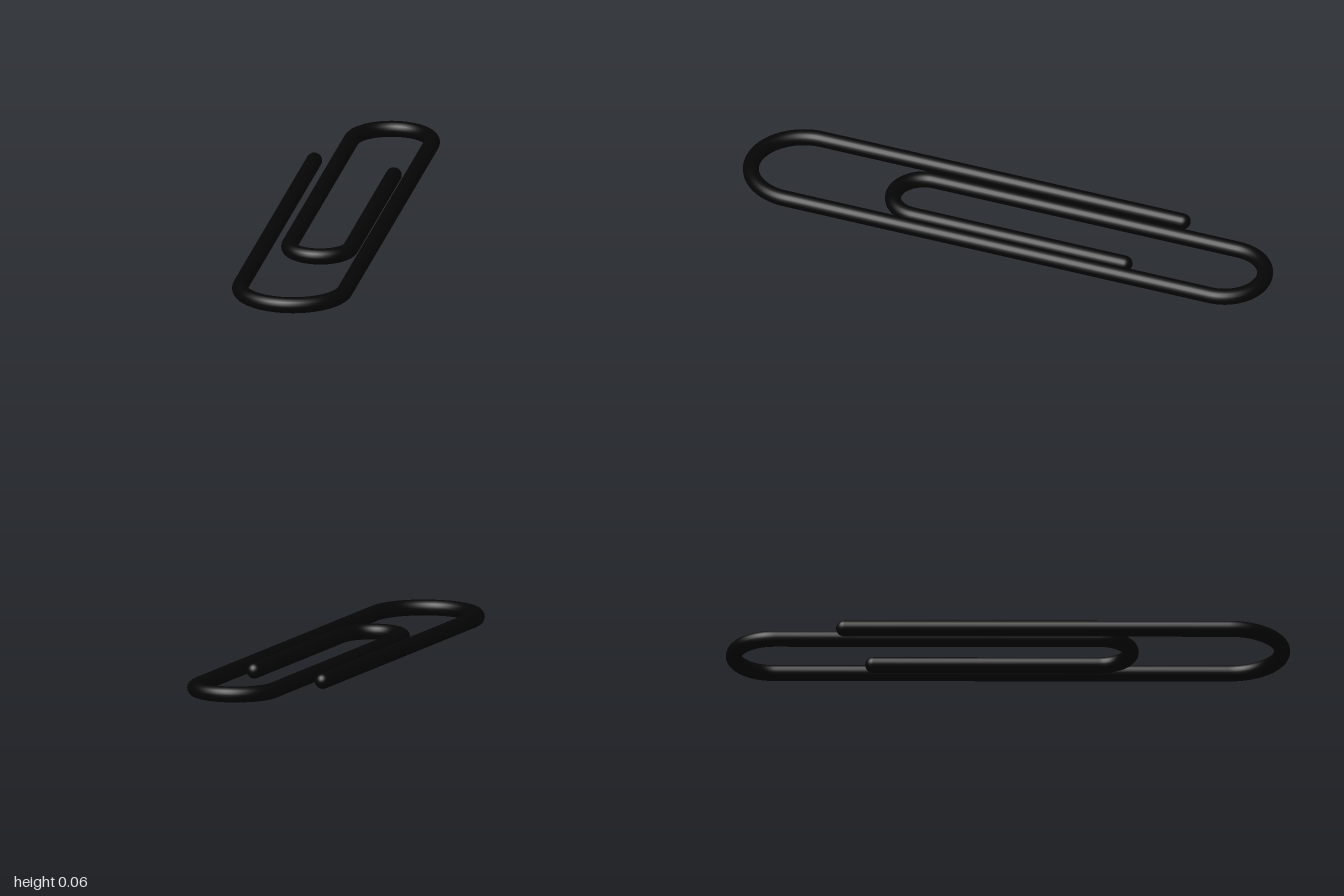
import * as THREE from 'three';

const WIRE = 0.0315;

// Lays a flat 2D path down on the ground plane (path y becomes z)
class FlatCurve extends THREE.Curve {
  constructor(path) {
    super();
    this.path = path;
    this.arcLengthDivisions = 800;
  }
  getPoint(t, target = new THREE.Vector3()) {
    const p = this.path.getPoint(t);
    return target.set(p.x, 0, p.y);
  }
}

export function createModel() {
  const group = new THREE.Group();
  group.name = 'paperClip';
  const material = new THREE.MeshStandardMaterial({ color: 0x050505 });

  // Bent wire: outer leg, large bend, back bend, inner bend, inner leg
  const path = new THREE.Path();
  path.moveTo(-0.24, -0.654);
  path.lineTo(-0.24, 0.859);
  path.absarc(-0.0325, 0.859, 0.2075, Math.PI, 0, true);
  path.absarc(0.0155, -0.927, 0.1595, 0, Math.PI, true);
  path.absarc(-0.022, 0.35, 0.122, Math.PI, 0, true);
  path.lineTo(0.1, -0.539);

  const curve = new FlatCurve(path);
  const wire = new THREE.Mesh(new THREE.TubeGeometry(curve, 600, WIRE, 20, false), material);
  wire.name = 'wire';

  // Rounded wire tips
  const tipGeometry = new THREE.SphereGeometry(WIRE, 20, 7, 0, Math.PI * 2, 0, Math.PI / 2);
  tipGeometry.rotateX(-Math.PI / 2);
  const tips = [['outerTip', 0], ['innerTip', 1]].map(([name, t]) => {
    const tip = new THREE.Mesh(tipGeometry, material);
    tip.name = name;
    tip.position.copy(curve.getPoint(t));
    return tip;
  });

  // The clip lies flat, turned diagonally
  const clip = new THREE.Group();
  clip.name = 'clip';
  clip.add(wire, ...tips);
  clip.position.y = WIRE;
  clip.rotation.y = Math.PI / 6;
  group.add(clip);
  return group;
}
